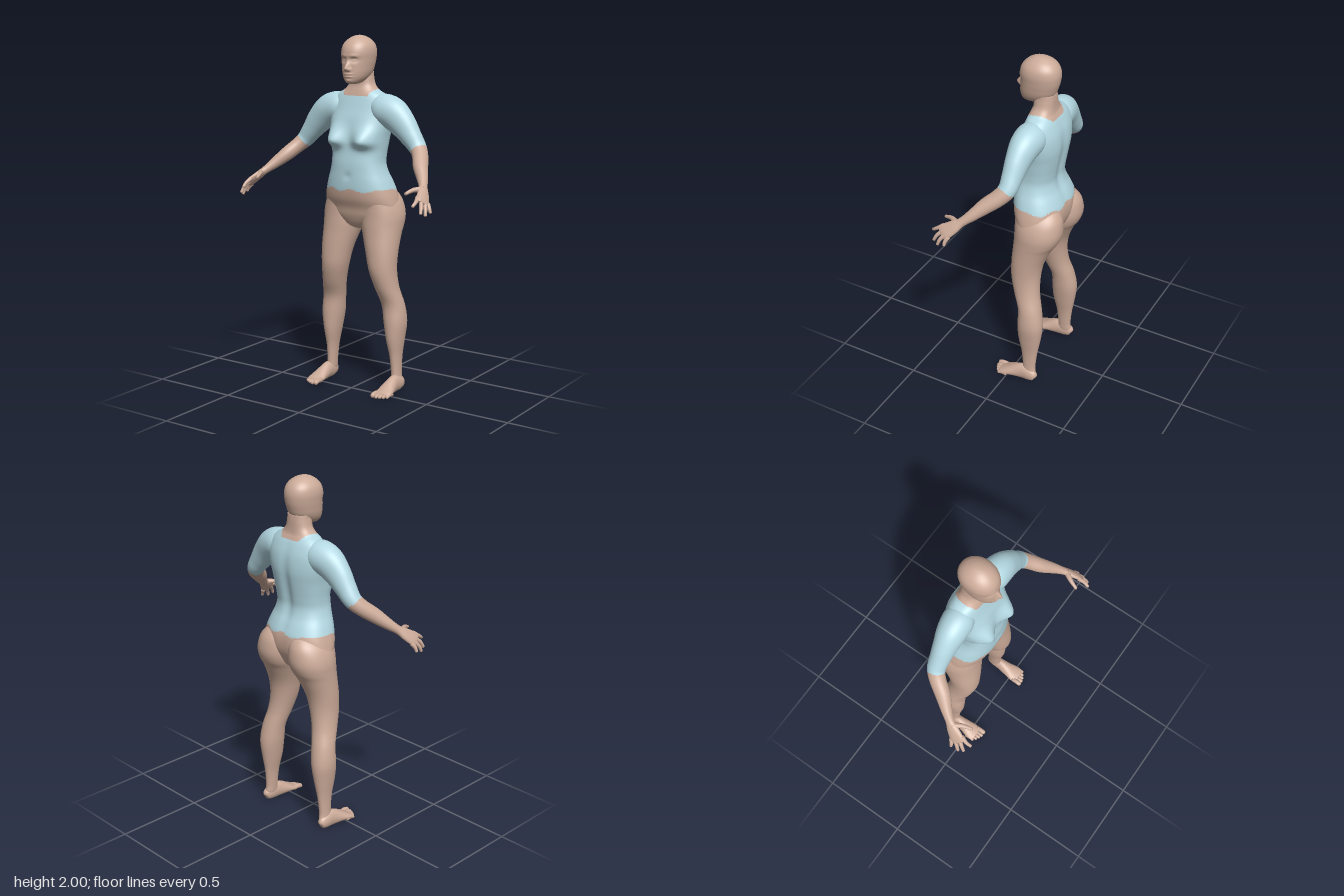
import * as THREE from 'three';

const skin = new THREE.MeshStandardMaterial({ color: 0xccab99 });
skin.name = 'skin';
const shirt = new THREE.MeshStandardMaterial({ color: 0xb4d8e2 });
shirt.name = 'shirt';

const bell = (d, s) => Math.exp(-(d * d) / (s * s));
const power = (v, n) => Math.sign(v) * Math.pow(Math.abs(v), 2 / n);

// Catmull-Rom through rows of numbers, n steps per span
function spline(rows, n) {
  const out = [];
  const at = (i) => rows[Math.max(0, Math.min(rows.length - 1, i))];
  for (let i = 0; i < rows.length - 1; i++) {
    for (let k = 0; k < n; k++) {
      const t = k / n;
      out.push(at(i).map((p1, c) => {
        const p0 = at(i - 1)[c], p2 = at(i + 1)[c], p3 = at(i + 2)[c];
        return p1 + 0.5 * t * (p2 - p0 + t * (2 * p0 - 5 * p1 + 4 * p2 - p3 + t * (3 * (p1 - p2) + p3 - p0)));
      }));
    }
  }
  out.push(at(rows.length - 1));
  return out;
}

// Closed skin over rings of points; isShirt(centre) picks the material group
function cover(rings, isShirt = () => false) {
  const seg = rings[0].length, verts = rings.flat();
  const groups = [[], []];
  const tri = (a, b, c) => {
    const mid = verts[a].clone().add(verts[b]).add(verts[c]).divideScalar(3);
    groups[isShirt(mid) ? 1 : 0].push(a, b, c);
  };
  for (let i = 0; i < rings.length - 1; i++) {
    for (let j = 0; j < seg; j++) {
      const k = (j + 1) % seg, a = i * seg, b = a + seg;
      tri(a + j, b + j, a + k);
      tri(a + k, b + j, b + k);
    }
  }
  for (const [r, flip] of [[0, false], [rings.length - 1, true]]) {
    const c = verts.length;
    verts.push(rings[r].reduce((s, p) => s.add(p), new THREE.Vector3()).divideScalar(seg));
    for (let j = 0; j < seg; j++) {
      const a = r * seg + j, b = r * seg + (j + 1) % seg;
      flip ? tri(c, b, a) : tri(c, a, b);
    }
  }
  const geo = new THREE.BufferGeometry().setFromPoints(verts);
  geo.setIndex([...groups[0], ...groups[1]]);
  geo.addGroup(0, groups[0].length, 0);
  if (groups[1].length) geo.addGroup(groups[0].length, groups[1].length, 1);
  geo.computeVertexNormals();
  return geo;
}

// Horizontal rings from rows [y, xMin, xMax, zBack, zFront]
function stack(rows, seg, n, exponent, shape = () => {}) {
  return spline(rows, n).map(([y, x0, x1, z0, z1]) => Array.from({ length: seg }, (_, j) => {
    const a = (j / seg) * Math.PI * 2;
    const p = new THREE.Vector3(
      (x0 + x1) / 2 + (x1 - x0) / 2 * power(Math.cos(a), exponent), y,
      (z0 + z1) / 2 + (z1 - z0) / 2 * power(Math.sin(a), exponent));
    shape(p, Math.sin(a));
    return p;
  }));
}

// Rings along a path from rows [x, y, z, radius along ref, other radius]
function sweep(rows, seg, n, ref) {
  const s = spline(rows, n);
  const pos = s.map((r) => new THREE.Vector3(r[0], r[1], r[2]));
  return s.map((r, i) => {
    const t = pos[Math.min(i + 1, s.length - 1)].clone().sub(pos[Math.max(i - 1, 0)]).normalize();
    const u = ref.clone().addScaledVector(t, -ref.dot(t)).normalize();
    const v = u.clone().cross(t);
    return Array.from({ length: seg }, (_, j) => {
      const a = (j / seg) * Math.PI * 2;
      return pos[i].clone().addScaledVector(u, r[3] * Math.cos(a)).addScaledVector(v, r[4] * Math.sin(a));
    });
  });
}

// Tapered round digit through given points
function digit(points, r0, r1, ref) {
  const rows = points.map((p, i) => {
    const r = r0 + (r1 - r0) * i / (points.length - 1);
    return [...p, r, r];
  });
  const end = points[points.length - 1], prev = points[points.length - 2];
  const d = new THREE.Vector3(...end).sub(new THREE.Vector3(...prev)).normalize();
  const tip = (k, r) => end.map((c, i) => c + d.getComponent(i) * r1 * k).concat(r, r);
  rows.push(tip(0.6, r1 * 0.8), tip(1, r1 * 0.1));
  return cover(sweep(rows, 12, 3, ref));
}

function mirrored(geo) {
  const g = geo.clone();
  for (const name of ['position', 'normal']) {
    const at = g.attributes[name];
    for (let i = 0; i < at.count; i++) at.setX(i, -at.getX(i));
  }
  const ix = g.index;
  for (let i = 0; i < ix.count; i += 3) {
    const b = ix.getX(i + 1);
    ix.setX(i + 1, ix.getX(i + 2));
    ix.setX(i + 2, b);
  }
  return g;
}

export function createModel() {
  const model = new THREE.Group();
  const mats = [skin, shirt];
  const add = (name, geo) => {
    const m = new THREE.Mesh(geo, mats);
    m.name = name;
    model.add(m);
  };
  const pair = (name, geo) => {
    add('left' + name, geo);
    add('right' + name, mirrored(geo));
  };
  const even = (rows) => rows.map(([y, w, b, f]) => [y, -w, w, b, f]);

  // Torso and neck, with breasts, spine furrow and shirt
  const torso = even([
    [0.925, 0.04, -0.16, -0.06], [0.95, 0.1, -0.19, -0.025], [1.0, 0.2, -0.22, -0.002],
    [1.05, 0.225, -0.24, 0.01], [1.1, 0.22, -0.247, 0.03], [1.15, 0.207, -0.243, 0.04],
    [1.2, 0.19, -0.225, 0.043], [1.25, 0.17, -0.203, 0.043], [1.3, 0.158, -0.193, 0.042],
    [1.35, 0.159, -0.198, 0.036], [1.4, 0.165, -0.206, 0.03], [1.45, 0.172, -0.214, 0.024],
    [1.5, 0.182, -0.22, 0.016], [1.55, 0.19, -0.219, 0.006], [1.6, 0.19, -0.211, -0.01],
    [1.65, 0.175, -0.193, -0.025], [1.68, 0.142, -0.178, -0.034], [1.7, 0.105, -0.169, -0.04],
    [1.73, 0.077, -0.165, -0.048], [1.77, 0.067, -0.163, -0.048], [1.8, 0.064, -0.16, -0.05]]);
  const shapeTorso = (p, front) => {
    const x = Math.abs(p.x), y = p.y;
    if (front > 0) {
      p.z += 0.062 * bell(x - 0.1, 0.062) * bell(y - 1.425, y > 1.425 ? 0.075 : 0.035) * Math.min(1, front * 2);
      p.z -= 0.006 * bell(x, 0.02) * bell(y - 1.23, 0.02);
    } else {
      p.z += 0.014 * bell(x, 0.03) * bell(y - 1.38, 0.2);
    }
  };
  add('torso', cover(stack(torso, 96, 5, 2.35, shapeTorso), (p) => {
    const hem = 1.152 + 0.008 * Math.sin(p.x * 45 + p.z * 20);
    const neckline = p.y > 1.668 && Math.hypot(p.x, p.z + 0.1) < 0.1;
    return p.y > hem && !neckline;
  }));

  // Head with modelled face
  const head = even([
    [1.737, 0.022, -0.06, 0.015], [1.747, 0.042, -0.09, 0.028], [1.77, 0.062, -0.13, 0.035],
    [1.8, 0.075, -0.16, 0.037], [1.835, 0.082, -0.174, 0.036], [1.87, 0.087, -0.183, 0.035],
    [1.91, 0.09, -0.186, 0.036], [1.945, 0.083, -0.177, 0.024], [1.972, 0.064, -0.155, 0],
    [1.99, 0.038, -0.125, -0.03], [1.998, 0.016, -0.1, -0.055], [2.0, 0.002, -0.08, -0.074]]);
  const shapeFace = (p, front) => {
    if (front <= 0) return;
    const x = Math.abs(p.x), y = p.y;
    const bridge = bell(x, 0.011) * bell(y - 1.822, y > 1.822 ? 0.03 : 0.012);
    p.z += 0.03 * bridge;
    p.z += 0.01 * bell(x - 0.012, 0.008) * bell(y - 1.815, 0.009);
    p.z -= 0.013 * bell(x - 0.034, 0.017) * bell(y - 1.869, 0.013);
    p.z += 0.008 * bell(x - 0.034, 0.012) * bell(y - 1.867, 0.007);
    p.z += 0.005 * bell(x - 0.03, 0.028) * bell(y - 1.889, 0.009);
    p.z += 0.008 * bell(x, 0.024) * (bell(y - 1.791, 0.006) + bell(y - 1.778, 0.006));
    p.z -= 0.005 * bell(x, 0.028) * bell(y - 1.784, 0.003);
    p.z += 0.006 * bell(x, 0.02) * bell(y - 1.755, 0.01);
  };
  add('head', cover(stack(head, 120, 8, 2.1, shapeFace)));

  // Ears: shell and rim
  const place = (g) => g.rotateX(-0.15).rotateY(0.3).translate(0.09, 1.837, -0.075);
  pair('Ear', place(new THREE.SphereGeometry(1, 20, 14).scale(0.009, 0.034, 0.019)));
  pair('EarRim', place(new THREE.TorusGeometry(0.8, 0.2, 8, 28).rotateY(Math.PI / 2).scale(0.022, 0.036, 0.021).translate(0.005, 0, 0)));

  // Legs with buttocks
  const leg = [
    [0.02, 0.207, 0.258, -0.17, -0.085], [0.06, 0.2, 0.252, -0.172, -0.085], [0.1, 0.197, 0.248, -0.168, -0.09],
    [0.2, 0.188, 0.25, -0.178, -0.08], [0.3, 0.168, 0.263, -0.195, -0.06], [0.4, 0.15, 0.275, -0.205, -0.055],
    [0.5, 0.137, 0.266, -0.19, -0.055], [0.6, 0.113, 0.246, -0.166, -0.018], [0.7, 0.085, 0.238, -0.16, 0.008],
    [0.8, 0.06, 0.24, -0.175, 0.01], [0.9, 0.028, 0.242, -0.218, 0.004], [0.95, 0.012, 0.244, -0.25, 0.002],
    [1.0, 0.004, 0.245, -0.268, 0], [1.05, 0.004, 0.236, -0.27, 0], [1.1, 0.012, 0.215, -0.261, 0],
    [1.14, 0.03, 0.18, -0.235, -0.02], [1.16, 0.06, 0.14, -0.2, -0.06]];
  pair('Leg', cover(stack(leg, 56, 5, 2.1)));

  // Feet and toes
  const side = new THREE.Vector3(1, 0, 0);
  const foot = sweep([
    [0.232, 0.028, -0.176, 0.006, 0.01], [0.232, 0.032, -0.168, 0.022, 0.03], [0.231, 0.04, -0.135, 0.03, 0.045],
    [0.23, 0.044, -0.09, 0.032, 0.05], [0.231, 0.034, -0.04, 0.04, 0.039], [0.233, 0.024, 0, 0.048, 0.026],
    [0.234, 0.017, 0.03, 0.05, 0.017], [0.235, 0.014, 0.05, 0.042, 0.01]], 32, 4, side);
  foot.flat().forEach((p) => { p.y = Math.max(0, p.y); });
  pair('Foot', cover(foot));
  [[0.197, 0.076, 0.014], [0.22, 0.078, 0.0105], [0.239, 0.071, 0.01], [0.257, 0.061, 0.0095], [0.274, 0.047, 0.0095]]
    .forEach(([x, z, r], i) => pair('Toe' + (i + 1), digit(
      [[x, r + 0.003, z - 0.05], [x, r + 0.005, z - 0.02], [x, r, z]], r, r, side)));

  // Arms, sleeves and palms
  const ahead = new THREE.Vector3(0, 0, 1);
  const arm = [
    [0.08, 1.6, -0.1, 0.06, 0.065], [0.14, 1.598, -0.1, 0.084, 0.087], [0.21, 1.577, -0.096, 0.08, 0.09],
    [0.275, 1.523, -0.092, 0.066, 0.078], [0.33, 1.46, -0.09, 0.056, 0.061], [0.375, 1.405, -0.085, 0.05, 0.049],
    [0.41, 1.365, -0.055, 0.046, 0.042], [0.45, 1.315, 0.005, 0.042, 0.039], [0.495, 1.265, 0.06, 0.031, 0.03],
    [0.528, 1.228, 0.105, 0.025, 0.021], [0.55, 1.2, 0.14, 0.036, 0.019], [0.572, 1.17, 0.18, 0.043, 0.015],
    [0.582, 1.156, 0.197, 0.036, 0.009]];
  const cuff = new THREE.Plane().setFromNormalAndCoplanarPoint(
    new THREE.Vector3(0.6, -0.72, 0.3).normalize(), new THREE.Vector3(0.385, 1.392, -0.078));
  pair('Arm', cover(sweep(arm, 40, 7, ahead), (p) => cuff.distanceToPoint(p) < 0));

  // Fingers and thumb
  const fingers = {
    IndexFinger: [[0.552, 1.192, 0.198], [0.562, 1.17, 0.232], [0.56, 1.152, 0.258]],
    MiddleFinger: [[0.565, 1.176, 0.187], [0.586, 1.144, 0.22], [0.594, 1.115, 0.236]],
    RingFinger: [[0.577, 1.164, 0.171], [0.598, 1.13, 0.197], [0.605, 1.102, 0.208]],
    LittleFinger: [[0.586, 1.152, 0.153], [0.602, 1.129, 0.164], [0.609, 1.112, 0.166]],
    Thumb: [[0.54, 1.22, 0.125], [0.51, 1.22, 0.172], [0.493, 1.205, 0.22]],
  };
  for (const [name, path] of Object.entries(fingers)) {
    pair(name, digit(path, name === 'Thumb' ? 0.017 : 0.0125, 0.0085, side));
  }
  return model;
}
